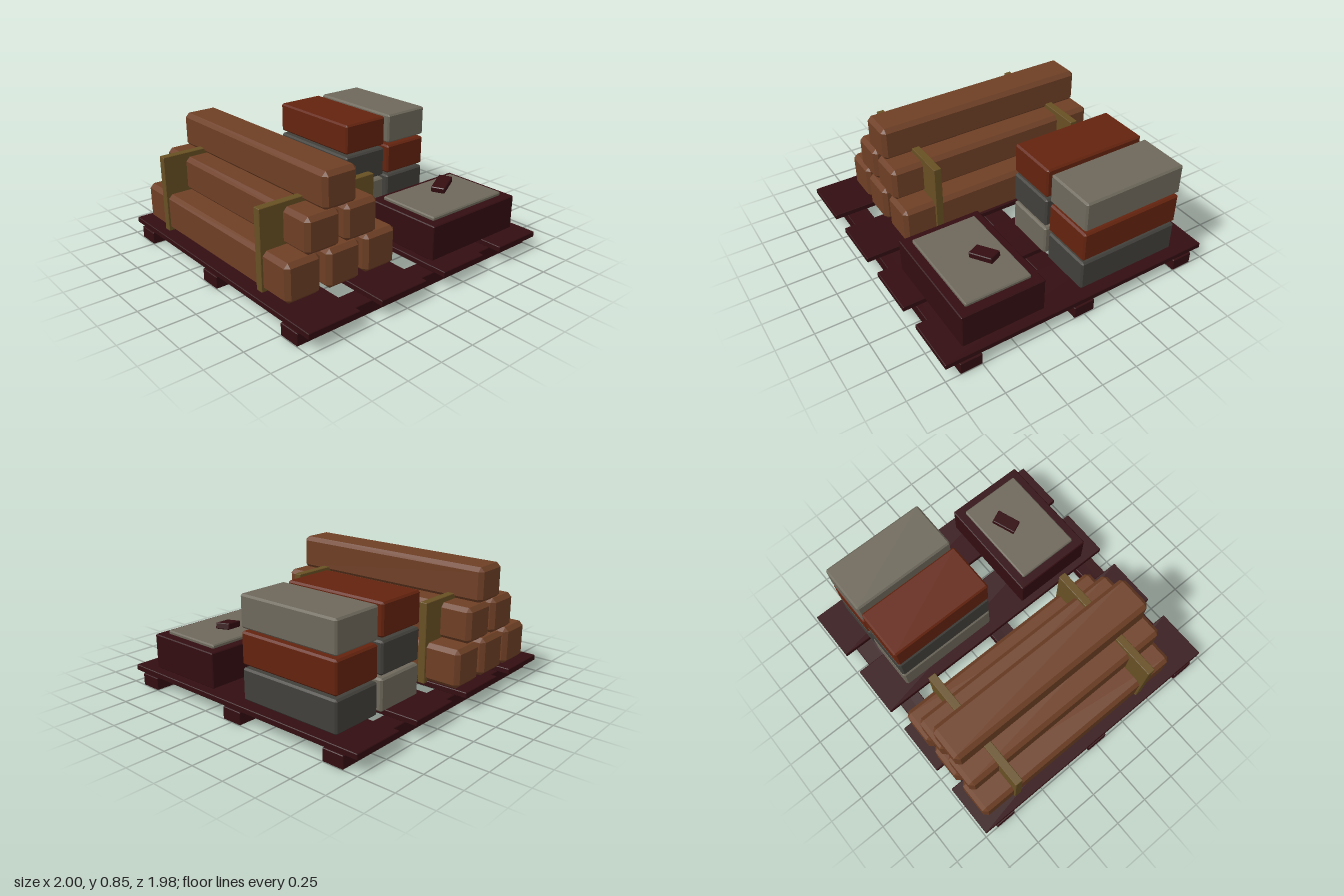
import * as THREE from 'three';
import { ConvexGeometry } from 'three/addons/geometries/ConvexGeometry.js';

const paint = (name, color) => {
  const m = new THREE.MeshStandardMaterial({ color });
  m.name = name;
  return m;
};

// Box with every edge and corner cut flat by c
function chamferBox(w, h, d, c) {
  const pts = [];
  for (const x of [-1, 1]) for (const y of [-1, 1]) for (const z of [-1, 1])
    for (let axis = 0; axis < 3; axis++) {
      const inset = (i) => (i === axis ? 0 : c);
      pts.push(new THREE.Vector3(
        x * (w / 2 - inset(0)), y * (h / 2 - inset(1)), z * (d / 2 - inset(2))));
    }
  return new ConvexGeometry(pts);
}

export function createModel() {
  const darkWood = paint('darkWood', 0x330d11);
  const timber = paint('timber', 0x6e3f25);
  const olive = paint('oliveWood', 0x674f23);
  const rust = paint('rustBrick', 0x64230e);
  const pale = paint('paleStone', 0x6e685b);
  const slate = paint('slateStone', 0x413f3a);

  const model = new THREE.Group();
  model.name = 'loadedPallet';

  // Adds a part filling the given extents; c is the chamfer
  function block(parent, name, mat, [x0, x1], [y0, y1], [z0, z1], c = 0) {
    const size = [x1 - x0, y1 - y0, z1 - z0];
    const geo = c ? chamferBox(...size, c) : new THREE.BoxGeometry(...size);
    const mesh = new THREE.Mesh(geo, mat);
    mesh.name = name;
    mesh.position.set((x0 + x1) / 2, (y0 + y1) / 2, (z0 + z1) / 2);
    parent.add(mesh);
    return mesh;
  }
  function group(name) {
    const g = new THREE.Group();
    g.name = name;
    model.add(g);
    return g;
  }

  // Pallet: three runners under four wide boards
  const pallet = group('pallet');
  for (const z of [-0.823, 0, 0.823])
    block(pallet, 'runner', darkWood, [-1, 1], [0, 0.085], [z - 0.076, z + 0.076], 0.004);
  for (const x of [-0.802, -0.265, 0.265, 0.802])
    block(pallet, 'deckBoard', darkWood, [x - 0.187, x + 0.187], [0.083, 0.122], [-0.988, 0.988], 0.004);

  // Pyramid of six beams: centre x, bottom y, back z, front z
  const beams = group('beamStack');
  for (const [x, y, z0, z1] of [
    [-0.785, 0.124, -0.927, 0.7], [-0.49, 0.124, -0.927, 0.71], [-0.192, 0.124, -0.927, 0.7],
    [-0.632, 0.38, -0.905, 0.692], [-0.34, 0.38, -0.905, 0.692],
    [-0.488, 0.613, -0.888, 0.675],
  ]) block(beams, 'beam', timber, [x - 0.128, x + 0.128], [y, y + 0.24 + (y < 0.2 ? 0.02 : 0)], [z0, z1], 0.028);

  // Upright boards the beams pass through
  for (const z of [-0.66, 0.443])
    block(beams, 'retainingBoard', olive, [-0.928, -0.048], [0.11, 0.655], [z - 0.027, z + 0.027], 0.003);

  // Two columns of three blocks, listed bottom to top
  const bricks = group('brickStack');
  [[pale, slate, rust], [slate, rust, pale]].forEach((column, i) => {
    const x = 0.335 + i * 0.4;
    column.forEach((mat, j) => {
      const y = 0.128 + j * 0.232;
      block(bricks, 'brick', mat, [x - 0.182, x + 0.182], [y, y + 0.212], [-0.778, -0.025], 0.012);
    });
  });

  // Low crate with a pale slab and a tilted offcut on top
  const crate = group('crate');
  block(crate, 'crateBody', darkWood, [0.128, 0.922], [0.12, 0.36], [0.255, 0.838], 0.006);
  block(crate, 'crateSlab', pale, [0.19, 0.86], [0.355, 0.385], [0.315, 0.775], 0.008);
  const offcut = block(crate, 'offcut', darkWood, [0.5, 0.675], [0.4, 0.442], [0.432, 0.528], 0.005);
  offcut.rotation.set(0, 0.42, 0.18);

  return model;
}
